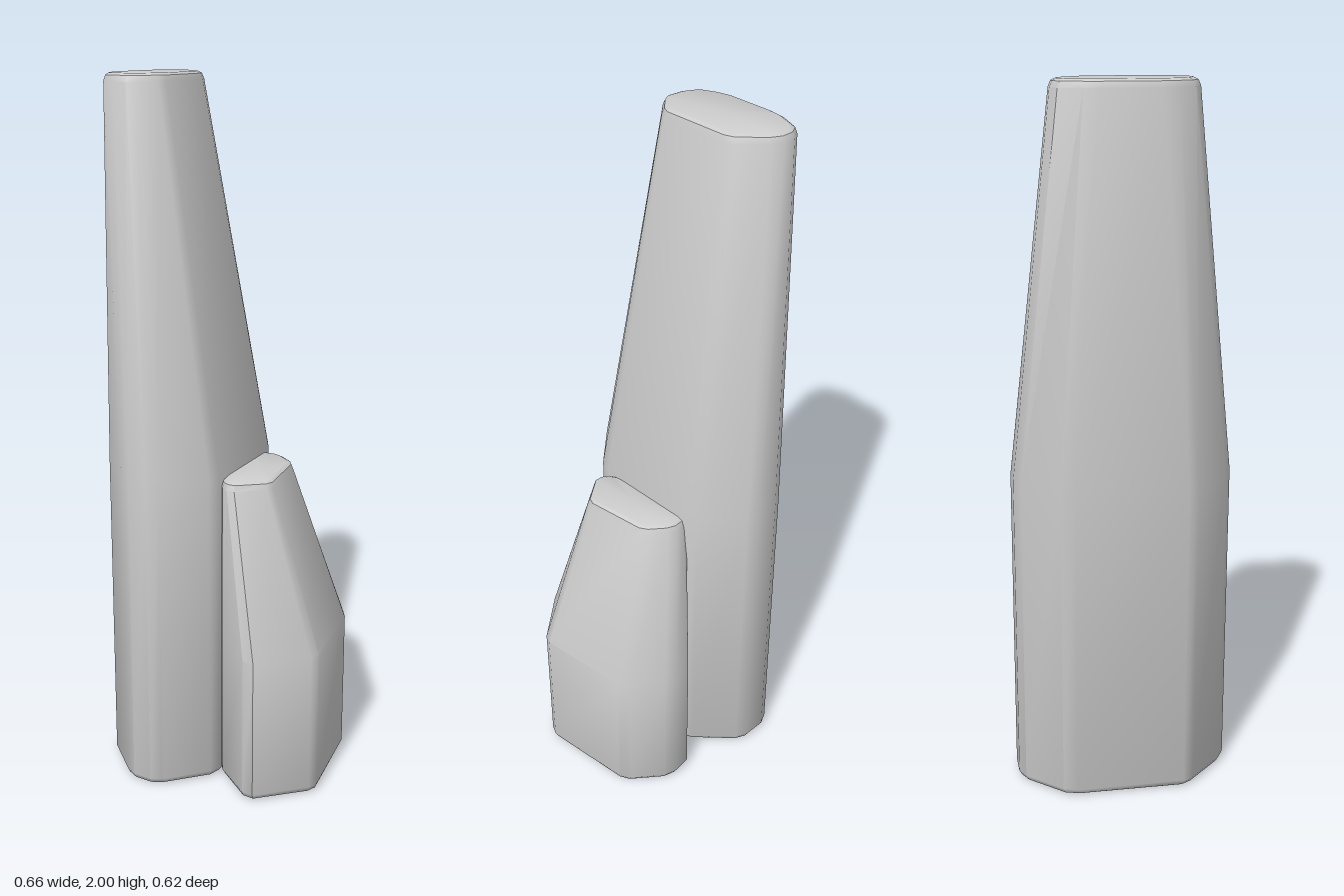
import * as THREE from 'three';
import { toCreasedNormals } from 'three/addons/utils/BufferGeometryUtils.js';

const centre = (o) => o.reduce((c, p) => [c[0] + p[0] / o.length, c[1] + p[1] / o.length], [0, 0]);

// Pull an outline of [x, z] points towards its centre by a distance
function inset(outline, d) {
  const [cx, cz] = centre(outline);
  return outline.map(([x, z]) => {
    const k = d / Math.hypot(cx - x, cz - z);
    return [x + (cx - x) * k, z + (cz - z) * k];
  });
}

// Skin a stack of rings { y, o } and close both ends
function loft(rings) {
  const n = rings[0].o.length, pos = [], idx = [];
  for (const { y, o } of rings) for (const [x, z] of o) pos.push(x, y, z);
  for (let r = 0; r < rings.length - 1; r++) {
    for (let i = 0; i < n; i++) {
      const a = r * n + i, b = r * n + (i + 1) % n;
      idx.push(a, a + n, b, b, a + n, b + n);
    }
  }
  const last = rings.length - 1, bottom = last * n + n, top = bottom + 1;
  for (const r of [0, last]) {
    const [x, z] = centre(rings[r].o);
    pos.push(x, rings[r].y, z);
  }
  for (let i = 0; i < n; i++) {
    const j = (i + 1) % n;
    idx.push(bottom, i, j, top, last * n + j, last * n + i);
  }
  const g = new THREE.BufferGeometry();
  g.setAttribute('position', new THREE.Float32BufferAttribute(pos, 3));
  g.setIndex(idx);
  return toCreasedNormals(g, 0.6);
}

// Straight shaft, then a leaning taper, with softened ends
function column(name, base, tip, shoulder, height, material) {
  const mesh = new THREE.Mesh(loft([
    { y: 0, o: inset(base, 0.02) },
    { y: 0.006, o: inset(base, 0.008) },
    { y: 0.02, o: base },
    { y: shoulder, o: base },
    { y: height - 0.022, o: tip },
    { y: height - 0.006, o: inset(tip, 0.007) },
    { y: height, o: inset(tip, 0.02) },
  ]), material);
  mesh.name = name;
  return mesh;
}

export function createModel() {
  const group = new THREE.Group();
  group.name = 'columns';
  const grey = new THREE.MeshStandardMaterial({ color: 0xcccccc });

  // Tall column: outlines run back, right, front, left
  const tallBase = [
    [-0.16, -0.3], [-0.125, -0.313], [-0.055, -0.305], [-0.025, -0.287],
    [0.062, -0.175], [0.073, -0.145], [0.036, 0.18], [0.02, 0.213],
    [-0.095, 0.3], [-0.13, 0.311], [-0.185, 0.3], [-0.215, 0.278],
    [-0.302, 0.165], [-0.314, 0.135], [-0.276, -0.175], [-0.26, -0.213],
  ];
  const tallTip = [
    [-0.27, -0.212], [-0.24, -0.225], [-0.205, -0.22], [-0.175, -0.2],
    [-0.12, -0.13], [-0.113, -0.1], [-0.137, 0.105], [-0.152, 0.127],
    [-0.2, 0.163], [-0.225, 0.172], [-0.265, 0.163], [-0.305, 0.137],
    [-0.324, 0.088], [-0.333, 0.04], [-0.315, -0.115], [-0.303, -0.155],
  ];
  group.add(column('tallColumn', tallBase, tallTip, 0.92, 2, grey));

  // Short column leaning against it
  const shortBase = [
    [0.15, -0.222], [0.205, -0.222], [0.24, -0.208],
    [0.32, -0.13], [0.332, -0.1], [0.332, 0.175], [0.317, 0.2],
    [0.178, 0.295], [0.145, 0.288], [0.05, 0.19], [0.035, 0.16],
    [0.038, -0.09], [0.055, -0.125],
  ];
  const shortTip = [
    [0.07, -0.137], [0.1, -0.136], [0.125, -0.123],
    [0.165, -0.085], [0.177, -0.06], [0.177, 0.125], [0.165, 0.145],
    [0.085, 0.191], [0.062, 0.188], [0.045, 0.175], [0.035, 0.155],
    [0.035, -0.09], [0.045, -0.125],
  ];
  group.add(column('shortColumn', shortBase, shortTip, 0.43, 0.91, grey));

  return group;
}
